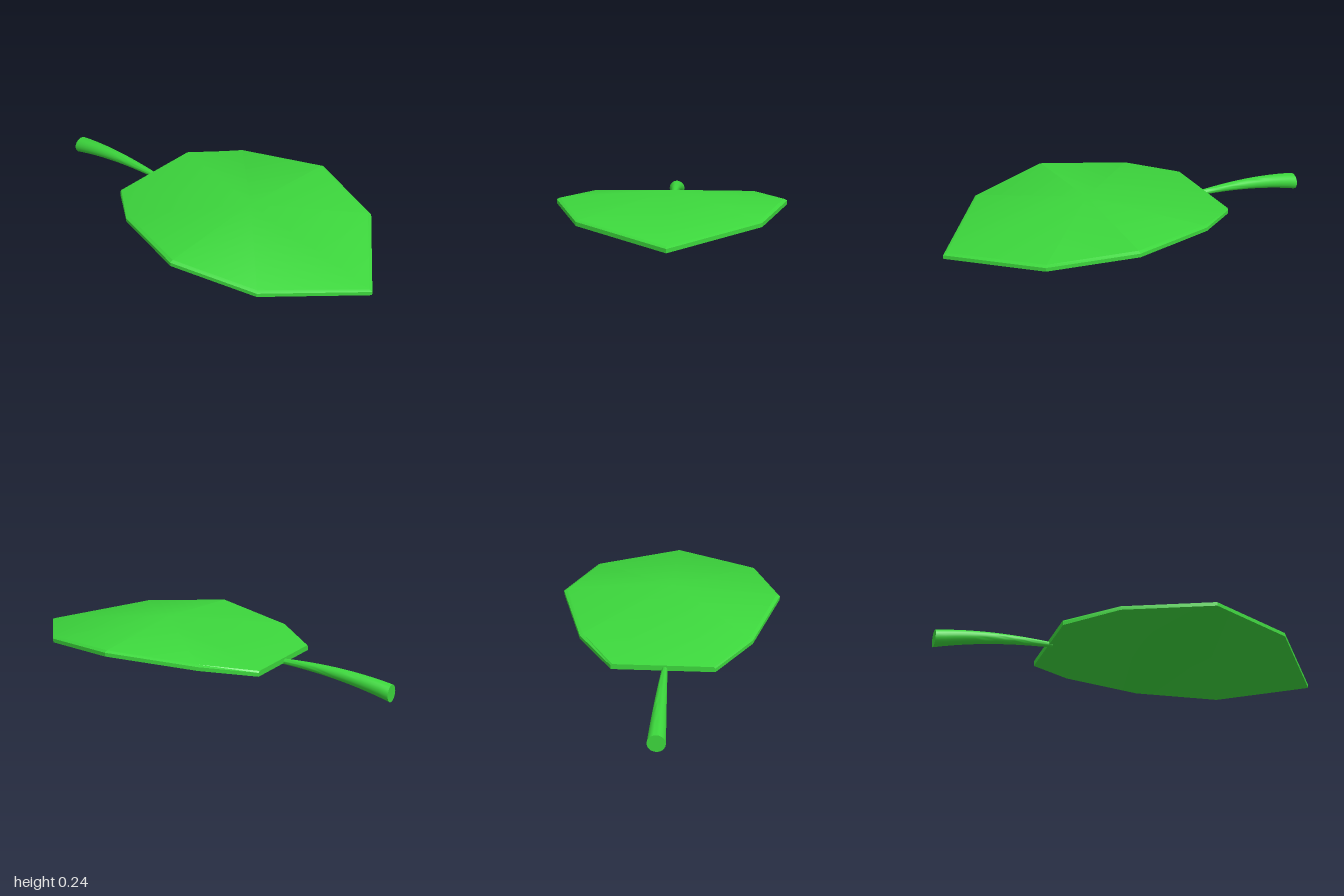
import * as THREE from 'three';
import { toCreasedNormals } from 'three/addons/utils/BufferGeometryUtils.js';

const green = new THREE.MeshStandardMaterial({ color: 0x3cd63c });

// Half outline of the blade's upper rim, from the tip back to the stem: x, y, z
const half = [
  [0, 0.108, 1], [0.425, 0.16, 0.66], [0.56, 0.192, 0.24],
  [0.425, 0.158, -0.2], [0.25, 0.12, -0.43],
];

// Thin faceted slab, highest in the middle, with a bevelled upper rim
function bladeGeometry() {
  const mirrored = half.slice(1).reverse().map(([x, y, z]) => [-x, y, z]);
  const rim = [...half, ...mirrored];
  const inner = rim.map(([x, y, z]) =>
    [x * 0.97, y + 0.008, z < -0.4 ? z : 0.24 + (z - 0.24) * 0.975]);
  const under = rim.map(([x, y, z]) => [x, y - 0.019, z]);
  const crown = [0, 0.24, 0.24], belly = [0, 0.212, 0.24];
  const pos = [];
  const tri = (...pts) => pts.forEach((p) => pos.push(...p));
  const quad = (a, b, c, d) => { tri(a, b, c); tri(a, c, d); };
  rim.forEach((p, i) => {
    const j = (i + 1) % rim.length;
    tri(crown, inner[i], inner[j]);
    quad(inner[i], p, rim[j], inner[j]);
    quad(p, under[i], under[j], rim[j]);
    tri(belly, under[j], under[i]);
  });
  const geo = new THREE.BufferGeometry();
  geo.setAttribute('position', new THREE.Float32BufferAttribute(pos, 3));
  return toCreasedNormals(geo, 0.37);
}

// Tapered stalk lying along z, drooping towards its cut end
function stemGeometry() {
  const length = 0.59;
  const geo = new THREE.CylinderGeometry(0.013, 0.043, length, 20, 12);
  geo.rotateX(Math.PI / 2); // narrow end towards +z
  geo.translate(-0.008, 0, -1 + length / 2);
  const p = geo.attributes.position;
  for (let i = 0; i < p.count; i++) {
    const t = (-0.41 - p.getZ(i)) / length;
    p.setY(i, p.getY(i) + 0.107 - 0.061 * Math.pow(t, 2.3));
  }
  return toCreasedNormals(geo.toNonIndexed(), 0.8);
}

export function createModel() {
  const leaf = new THREE.Group();
  leaf.name = 'leaf';
  const parts = { blade: bladeGeometry(), stem: stemGeometry() };
  for (const [name, geo] of Object.entries(parts)) {
    const mesh = new THREE.Mesh(geo, green);
    mesh.name = name;
    leaf.add(mesh);
  }
  return leaf;
}
